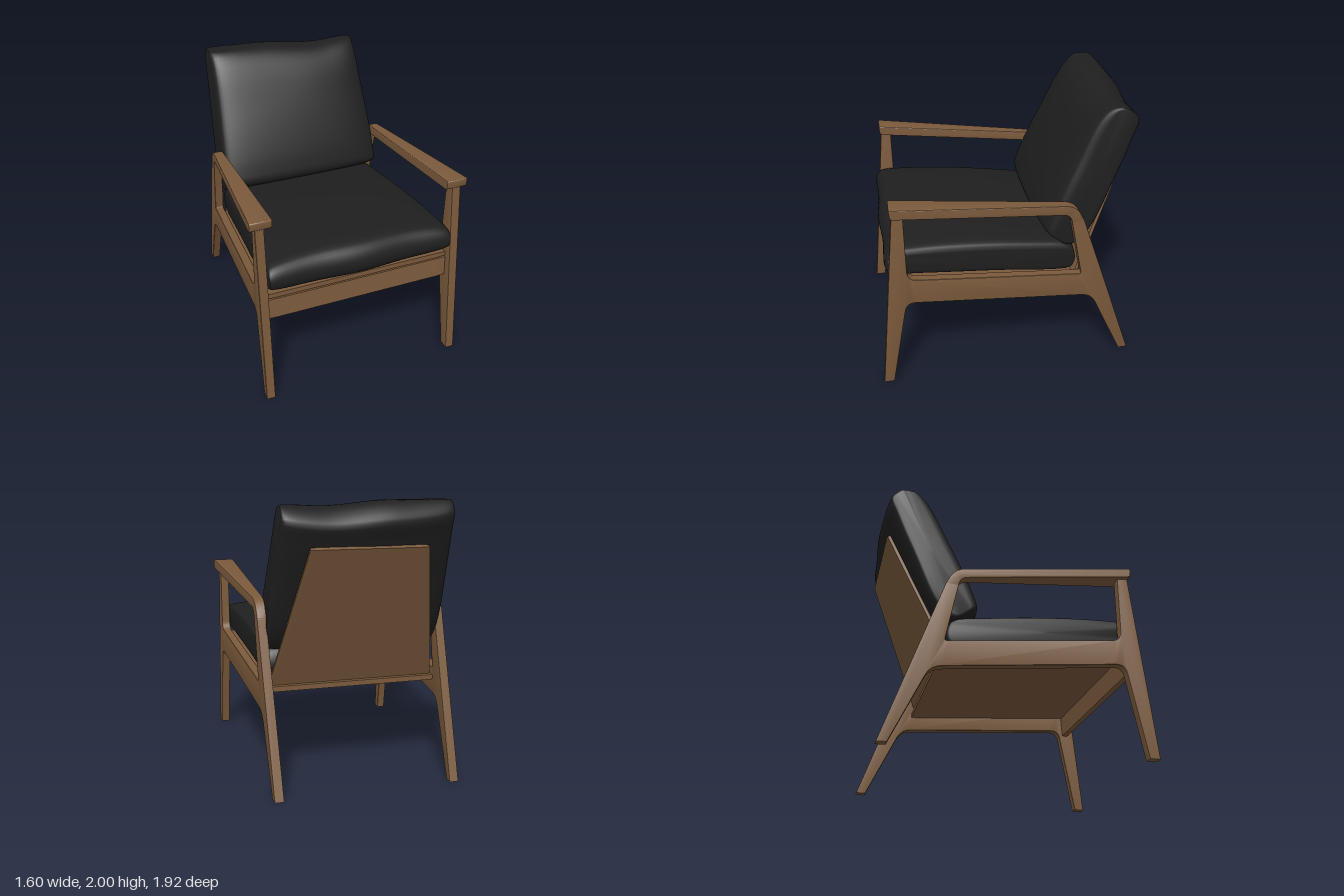
import * as THREE from 'three';
import { toCreasedNormals } from 'three/addons/utils/BufferGeometryUtils.js';

const lerp = THREE.MathUtils.lerp;
const smooth = THREE.MathUtils.smoothstep;

// Outline from [z, y, radius] corners, rounding those that have a radius
function roundedShape(corners) {
  const shape = new THREE.Shape();
  const n = corners.length;
  const at = (i) => new THREE.Vector2(corners[(i + n) % n][0], corners[(i + n) % n][1]);
  const toward = (p, q, r) => p.clone().add(q.clone().sub(p).setLength(r));
  for (let i = 0; i < n; i++) {
    const p = at(i), r = corners[i][2] || 0;
    const a = r ? toward(p, at(i - 1), r) : p;
    if (i === 0) shape.moveTo(a.x, a.y); else shape.lineTo(a.x, a.y);
    if (r) {
      const b = toward(p, at(i + 1), r);
      shape.quadraticCurveTo(p.x, p.y, b.x, b.y);
    }
  }
  shape.closePath();
  return shape;
}

// Side profile extruded across x, between lo(z, y) and hi(z, y)
function profileSolid(corners, lo, hi, bevel = 0.006) {
  const bt = 0.06;
  const geo = new THREE.ExtrudeGeometry(roundedShape(corners), {
    depth: 1, curveSegments: 8, bevelEnabled: true, bevelSegments: 2,
    bevelThickness: bt, bevelSize: bevel, bevelOffset: -bevel,
  });
  const pos = geo.attributes.position;
  for (let i = 0; i < pos.count; i++) {
    const z = pos.getX(i), y = pos.getY(i);
    const t = (pos.getZ(i) + bt) / (1 + 2 * bt);
    pos.setXYZ(i, lerp(hi(z, y), lo(z, y), t), y, z);
  }
  return toCreasedNormals(geo, 0.5);
}

// Cushion: a closed [z, y] profile, clockwise with z to the right,
// lofted across x and thinning toward a spine at its sides
function cushion(profile, spineA, spineB, halfWidth, deform) {
  const loop = new THREE.CatmullRomCurve3(
    profile.map(([z, y]) => new THREE.Vector3(0, y, z)), true).getPoints(56).slice(0, -1);
  const spine = new THREE.Line3(new THREE.Vector3(0, spineA[1], spineA[0]),
    new THREE.Vector3(0, spineB[1], spineB[0]));
  const m = loop.length, steps = 32, verts = [], index = [], v = new THREE.Vector3();
  const push = (p, u) => {
    const q = new THREE.Vector3(u * halfWidth(p.z, p.y), p.y, p.z);
    deform(q, u);
    verts.push(q.x, q.y, q.z);
  };
  for (let i = 0; i <= steps; i++) {
    const angle = (i / steps - 0.5) * Math.PI;
    const u = Math.sin(angle);
    const s = 0.45 + 0.55 * Math.sqrt(Math.max(0, Math.cos(angle)));
    for (const p of loop) {
      spine.closestPointToPoint(p, true, v);
      push(v.lerp(p, s), u);
    }
  }
  for (let i = 0; i < steps; i++) for (let j = 0; j < m; j++) {
    const k = (j + 1) % m;
    const a = i * m + j, b = i * m + k, c = a + m, d = b + m;
    index.push(a, b, c, b, d, c);
  }
  // side caps
  const mid = spine.getCenter(new THREE.Vector3());
  const right = verts.length / 3, left = right + 1, last = steps * m;
  push(mid, -1);
  push(mid, 1);
  for (let j = 0; j < m; j++) {
    const k = (j + 1) % m;
    index.push(k, j, right, last + j, last + k, left);
  }
  const geo = new THREE.BufferGeometry();
  geo.setAttribute('position', new THREE.Float32BufferAttribute(verts, 3));
  geo.setIndex(index);
  return toCreasedNormals(geo, 0.9);
}

export function createModel() {
  const chair = new THREE.Group();
  chair.name = 'armchair';
  const wood = new THREE.MeshStandardMaterial({ color: 0x7b5a3c });
  wood.name = 'wood';
  const fabric = new THREE.MeshStandardMaterial({ color: 0x1f1f1f });
  fabric.name = 'blackFabric';
  const add = (name, geo, material) => {
    const mesh = new THREE.Mesh(geo, material);
    mesh.name = name;
    chair.add(mesh);
  };

  // Side frames (legs and rail in one piece) and armrests, splayed toward the front
  const frameOutline = [
    [0.965, 0], [0.83, 1.4], [0.755, 1.4], [0.75, 0.868, 0.07], [-0.515, 0.742, 0.02],
    [-0.425, 1.19], [-0.517, 1.19], [-0.93, 0], [-0.86, 0], [-0.604, 0.545, 0.08],
    [0.765, 0.681, 0.07], [0.89, 0],
  ];
  const armOutline = [
    [0.85, 1.45, 0.02], [-0.455, 1.312, 0.08], [-0.521, 1.18], [-0.427, 1.18],
    [-0.412, 1.243, 0.05], [0.842, 1.378, 0.02],
  ];
  const frameIn = (z) => 0.653 + 0.05 * z, frameOut = (z) => 0.719 + 0.05 * z;
  const armIn = (z) => 0.632 + 0.01 * z, armOut = (z) => 0.733 + 0.08 * z;
  const neg = (f) => (z, y) => -f(z, y);
  add('leftSideFrame', profileSolid(frameOutline, frameIn, frameOut), wood);
  add('rightSideFrame', profileSolid(frameOutline, neg(frameOut), neg(frameIn)), wood);
  add('leftArmrest', profileSolid(armOutline, armIn, armOut), wood);
  add('rightArmrest', profileSolid(armOutline, neg(armOut), neg(armIn)), wood);

  // Front rail, sloping seat board and tapered back board
  const span = (z) => frameIn(z) + 0.004;
  add('frontRail', profileSolid(
    [[0.79, 0.79], [0.835, 0.79], [0.845, 0.635], [0.80, 0.635]], neg(span), span, 0.004), wood);
  add('seatBoard', profileSolid(
    [[0.83, 0.835], [0.83, 0.797], [-0.53, 0.655], [-0.53, 0.693]], neg(span), span, 0.004), wood);
  const backHalf = (z, y) => lerp(0.62, 0.41, (y - 0.68) / 1.02);
  add('backBoard', profileSolid(
    [[-0.895, 1.705], [-0.922, 1.69], [-0.495, 0.68], [-0.465, 0.68]],
    neg(backHalf), backHalf, 0.003), wood);

  // Seat cushion
  add('seatCushion', cushion([
    [-0.5, 0.88], [-0.44, 0.985], [-0.2, 1.035], [0.25, 1.09], [0.65, 1.105], [0.84, 1.085],
    [0.9, 1.0], [0.895, 0.92], [0.83, 0.85], [0.65, 0.825], [0.1, 0.768], [-0.45, 0.715],
    [-0.5, 0.78],
  ], [-0.44, 0.85], [0.86, 0.97], (z) => 0.645 + 0.05 * z, (p, u) => {
    p.z += 0.008 * Math.cos(u * 6) * smooth(p.z, 0.6, 0.9);
  }), fabric);

  // Back cushion, with a slightly slumped top edge
  add('backCushion', cushion([
    [-0.61, 1.03], [-0.8, 1.47], [-0.915, 1.74], [-0.96, 1.86], [-0.9, 1.95], [-0.81, 2.0],
    [-0.7, 1.985], [-0.6, 1.9], [-0.445, 1.63], [-0.32, 1.36], [-0.25, 1.17], [-0.235, 1.08],
    [-0.32, 1.0], [-0.45, 0.93],
  ], [-0.40, 1.03], [-0.83, 1.93], (z, y) => lerp(0.635, 0.59, smooth(y, 1.1, 2)), (p, u) => {
    const top = smooth(p.y, 1.5, 2);
    p.y += top * (0.04 * u * u - 0.045 * smooth(u, -0.3, 0.6));
    p.y = Math.min(p.y, 2);
    p.z += top * 0.03 * smooth(u, -0.3, 0.5);
  }), fabric);

  return chair;
}
